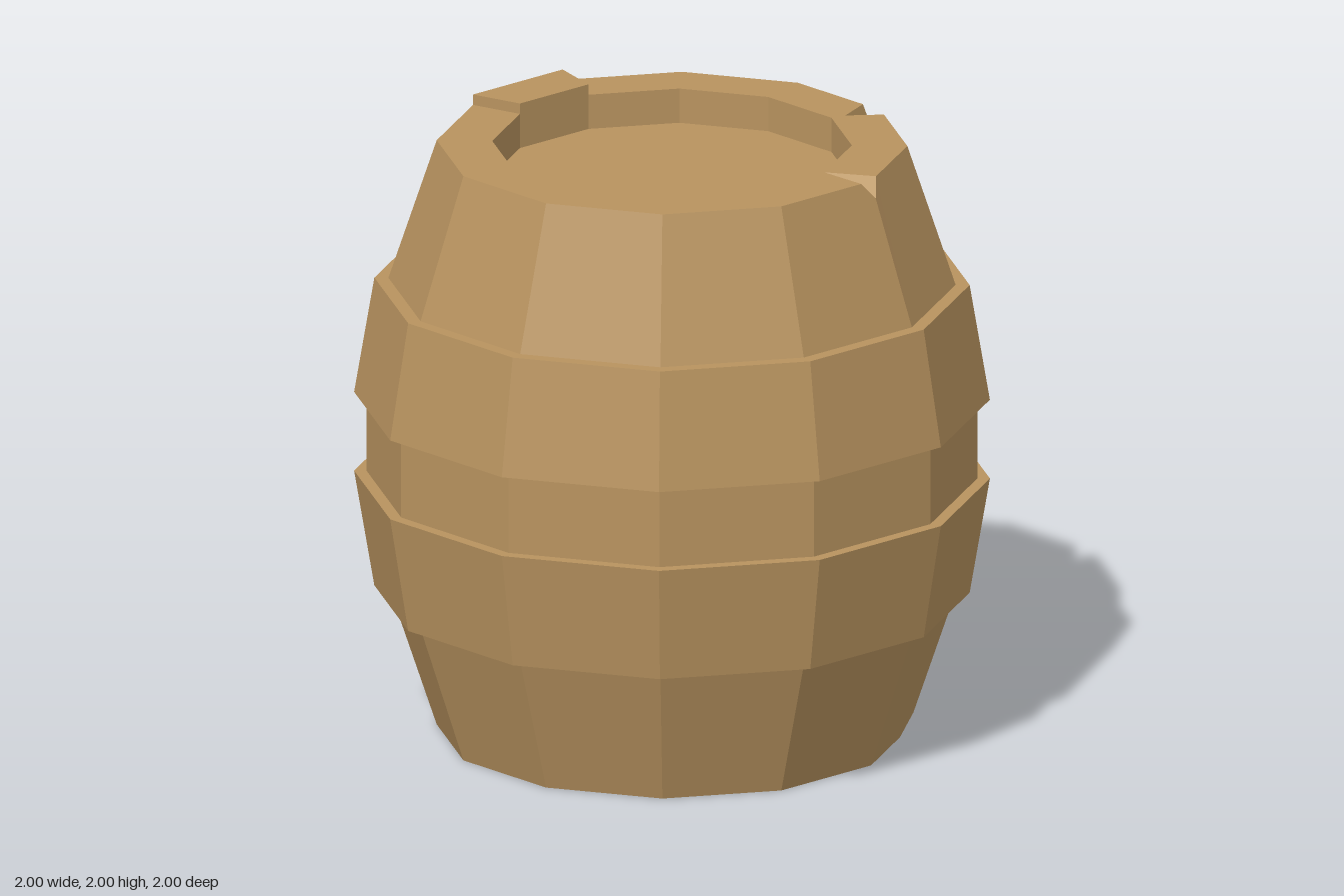
import * as THREE from 'three';

const SIDES = 12, TURN = 0.2007, TOP = 1.965;

const wood = new THREE.MeshStandardMaterial({ color: 0xb8935f, flatShading: true });

const corner = (k, r, y) => {
  const a = TURN + (k * Math.PI * 2) / SIDES;
  return new THREE.Vector3(r * Math.cos(a), y, r * Math.sin(a));
};

// A twelve-sided loop with three points per corner; a chip replaces a corner's
// three coincident points with [x, y, z] triples.
function ring(r, y, chips = {}) {
  const points = [];
  for (let k = 0; k < SIDES; k++) {
    if (chips[k]) points.push(...chips[k].map((p) => new THREE.Vector3(...p)));
    else for (let j = 0; j < 3; j++) points.push(corner(k, r, y));
  }
  return points;
}

// Joins successive loops with faces, dropping empty triangles.
function skin(name, loops) {
  const positions = [];
  const tri = new THREE.Triangle();
  const add = (a, b, c) => {
    if (tri.set(a, b, c).getArea() > 1e-6) for (const p of [a, b, c]) positions.push(p.x, p.y, p.z);
  };
  for (let i = 0; i + 1 < loops.length; i++) {
    const lo = loops[i], hi = loops[i + 1], n = lo.length;
    for (let j = 0; j < n; j++) {
      const k = (j + 1) % n;
      add(lo[j], hi[j], hi[k]);
      add(lo[j], hi[k], lo[k]);
    }
  }
  const geometry = new THREE.BufferGeometry();
  geometry.setAttribute('position', new THREE.Float32BufferAttribute(positions, 3));
  geometry.computeVertexNormals();
  const mesh = new THREE.Mesh(geometry, wood);
  mesh.name = name;
  return mesh;
}

export function createModel() {
  const group = new THREE.Group();
  group.name = 'barrel';

  // Chips: a small one in the foot, a long split above the upper band, a nick in the rim
  const footChip = { 0: [[0.736, 0, 0.09], [0.759, 0.06, 0.155], [0.705, 0, 0.22]] };
  const splitFoot = { 11: [[0.83, 1.5, -0.339], [0.835, 1.5, -0.27], [0.866, 1.5, -0.25]] };
  const rimChips = {
    11: [[0.67, TOP, -0.309], [0.595, TOP, -0.2], [0.719, TOP, -0.19]],
    1: [[0.59, TOP, 0.45], [0.579, 1.91, 0.512], [0.53, TOP, 0.523]],
  };
  const nickInner = { 1: [[0.448, TOP, 0.35], [0.432, TOP, 0.382], [0.432, TOP, 0.382]] };

  // Body with recessed ends
  group.add(skin('body', [
    ring(0, 0.115),
    ring(0.577, 0.115),
    ring(0.577, 0),
    ring(0.755, 0, footChip),
    ring(0.91, 0.465),
    ring(0.98, 0.85),
    ring(0.98, 1.12),
    ring(0.91, 1.5),
    ring(0.91, 1.5, splitFoot),
    ring(0.755, TOP, rimChips),
    ring(0.577, TOP, nickInner),
    ring(0.577, 1.85),
    ring(0, 1.85),
  ]));

  // Bands
  group.add(skin('lowerBand', [ring(0.89, 0.465), ring(0.955, 0.465), ring(1.02, 0.85), ring(0.96, 0.85)]));
  group.add(skin('upperBand', [ring(0.96, 1.115), ring(1.02, 1.115), ring(0.955, 1.5), ring(0.91, 1.5)]));

  // Stave end standing proud of the rim
  const stave = (y, s = 1) => [[7, 0.577], [7, 0.755], [8, 0.755], [8, 0.577]].map(([k, r]) => {
    const p = corner(k, r, y);
    const mid = corner(7.5, 0.643, y);
    return p.lerp(mid, 1 - s);
  });
  group.add(skin('raisedStave', [stave(TOP), stave(2), stave(2, 0)]));

  return group;
}
